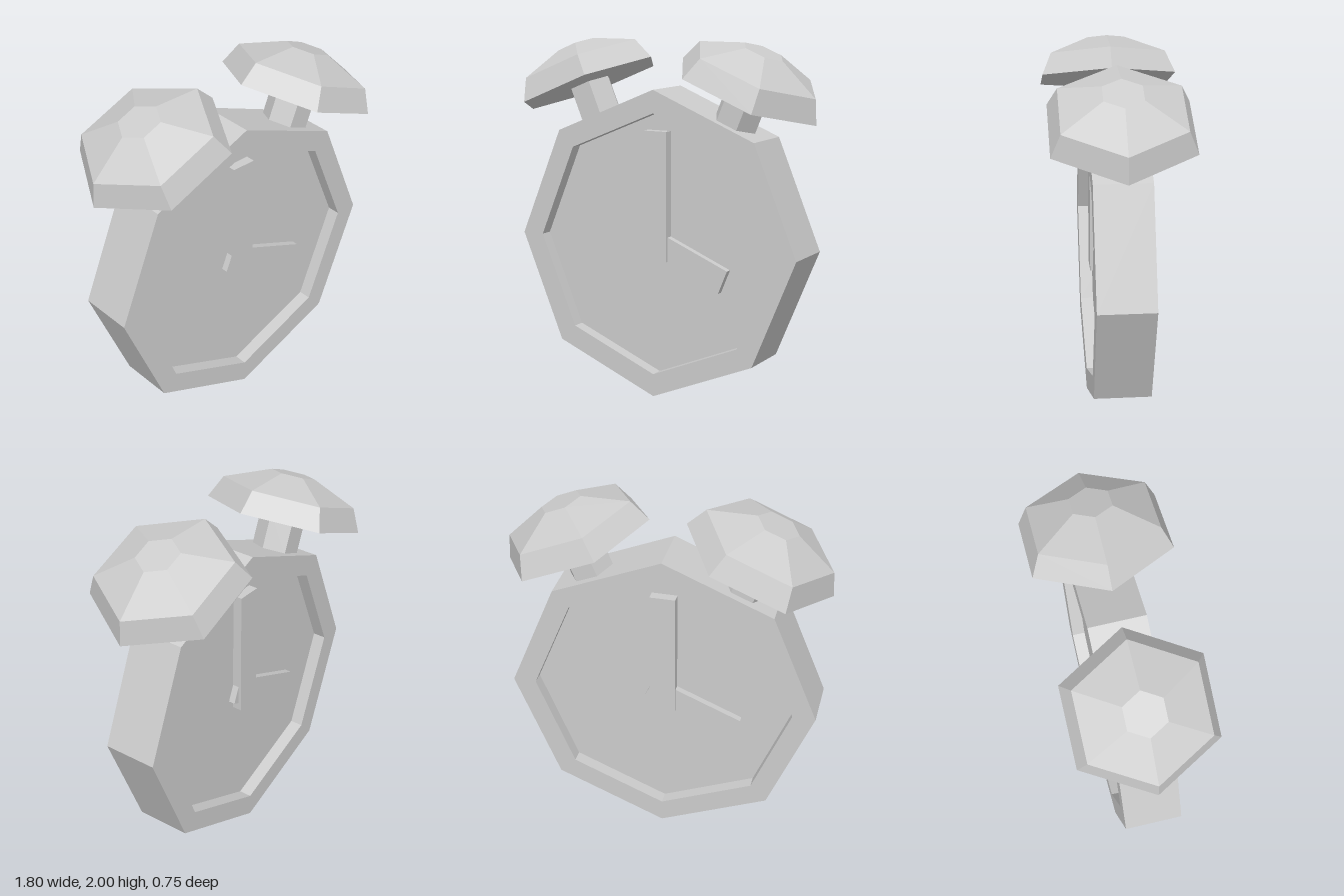
import * as THREE from 'three';

const CENTER_Y = 0.87, HALF_DEPTH = 0.157, FACE_Z = 0.083;
const OUTER_R = 0.867, INNER_R = 0.738;
const TILT = Math.PI / 8;

const material = new THREE.MeshStandardMaterial({ color: 0xcccccc, flatShading: true });

function add(parent, name, geometry) {
  const mesh = new THREE.Mesh(geometry, material);
  mesh.name = name;
  parent.add(mesh);
  return mesh;
}

// Octagon with a corner pointing straight up
function octagon(radius) {
  return Array.from({ length: 8 }, (_, i) => {
    const a = Math.PI / 2 + (i * Math.PI) / 4;
    return new THREE.Vector2(Math.cos(a) * radius, Math.sin(a) * radius);
  });
}

function extrude(shape, halfDepth) {
  const geometry = new THREE.ExtrudeGeometry(shape, { depth: halfDepth * 2, bevelEnabled: false });
  return geometry.translate(0, 0, -halfDepth);
}

// Six-sided turned part with corners along x
function hexLathe(profile) {
  const points = profile.map(([r, y]) => new THREE.Vector2(r, y));
  return new THREE.LatheGeometry(points, 6).rotateY(Math.PI / 2);
}

// Hands standing on one clock face
function createHands() {
  const hands = new THREE.Group();
  const minute = add(hands, 'minuteHand', new THREE.BoxGeometry(0.143, 0.727, 0.055));
  minute.position.set(0, 1.148, FACE_Z + 0.0265);
  const hour = add(hands, 'hourHand', new THREE.BoxGeometry(0.538, 0.142, 0.04));
  hour.position.set(0.166, 0.806, FACE_Z + 0.018);
  hour.rotation.z = -TILT;
  return hands;
}

// Bell and its stem, tilted square to the upper case side
function createBell() {
  const bell = new THREE.Group();
  add(bell, 'bellDome', hexLathe([[0, 0], [0.432, 0], [0.372, 0.127], [0.12, 0.231], [0, 0.231]]));
  add(bell, 'bellStem', hexLathe([[0, -0.2], [0.127, -0.2], [0.127, 0.01], [0, 0.01]]));
  return bell;
}

export function createModel() {
  const model = new THREE.Group();
  model.name = 'alarmClock';

  // Case rim with a recessed plate showing on both sides
  const rim = new THREE.Shape(octagon(OUTER_R));
  rim.holes.push(new THREE.Path(octagon(INNER_R)));
  add(model, 'caseRim', extrude(rim, HALF_DEPTH)).position.y = CENTER_Y + 0.003;
  const plate = new THREE.Shape(octagon(INNER_R + 0.01));
  add(model, 'clockFace', extrude(plate, FACE_Z)).position.y = CENTER_Y + 0.003;

  // The same hands on front and back
  ['frontHands', 'backHands'].forEach((name, i) => {
    const hands = createHands();
    hands.name = name;
    hands.rotation.y = i * Math.PI;
    model.add(hands);
  });

  // Mirrored bells
  for (const side of [1, -1]) {
    const bell = createBell();
    bell.name = side > 0 ? 'leftBell' : 'rightBell';
    bell.position.set(side * 0.5, 1.742, 0);
    bell.rotation.z = -side * TILT;
    model.add(bell);
  }

  return model;
}
